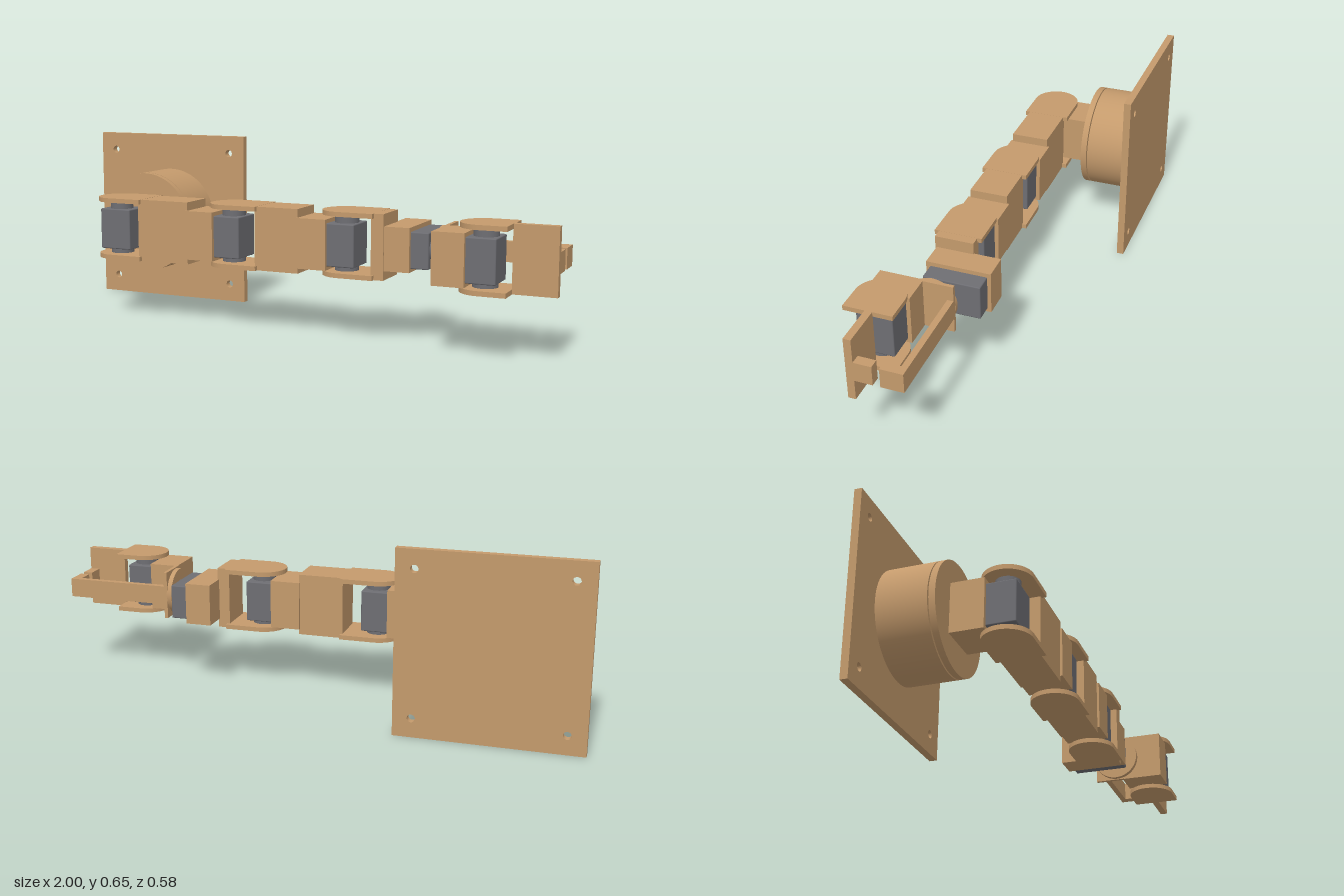
import * as THREE from 'three';
import { RoundedBoxGeometry } from 'three/addons/geometries/RoundedBoxGeometry.js';

const tan = new THREE.MeshStandardMaterial({ color: 0xc49a6c });
tan.name = 'tan plastic';
const grey = new THREE.MeshStandardMaterial({ color: 0x6e6e73 });
grey.name = 'motor grey';

const MID = 0.328;   // height of the arm's axis
const ARM_Z = 0.102; // depth of the arm's axis

function add(parent, name, geometry, material) {
  const mesh = new THREE.Mesh(geometry, material);
  mesh.name = name;
  parent.add(mesh);
  return mesh;
}

// Box given by its limits on each axis
function box(parent, name, [x0, x1], [y0, y1], [z0, z1], material = tan) {
  const mesh = add(parent, name, new THREE.BoxGeometry(x1 - x0, y1 - y0, z1 - z0), material);
  mesh.position.set((x0 + x1) / 2, (y0 + y1) / 2, (z0 + z1) / 2);
  return mesh;
}

// Motor body with slightly eased edges
function motor(parent, name, [x0, x1], [y0, y1], [z0, z1]) {
  const mesh = add(parent, name, new RoundedBoxGeometry(x1 - x0, y1 - y0, z1 - z0, 1, 0.004), grey);
  mesh.position.set((x0 + x1) / 2, (y0 + y1) / 2, (z0 + z1) / 2);
}

// Cylinder along 'x', 'y' or 'z' between two positions on that axis
function rod(parent, name, axis, radius, from, to, x, y, z, material) {
  const geometry = new THREE.CylinderGeometry(radius, radius, to - from, 64);
  if (axis === 'x') geometry.rotateZ(Math.PI / 2);
  if (axis === 'z') geometry.rotateX(Math.PI / 2);
  const mesh = add(parent, name, geometry, material);
  mesh.position.set(x, y, z);
  mesh.position[axis] = (from + to) / 2;
}

// Pair of plates, round at the pivot and square at the far end
function fork(parent, x, z, reach) {
  const r = 0.085;
  const shape = new THREE.Shape();
  shape.moveTo(reach, r);
  shape.lineTo(0, r);
  shape.absarc(0, 0, r, Math.PI / 2, Math.PI * 1.5, false);
  shape.lineTo(reach, -r);
  shape.closePath();
  for (const [name, y] of [['upperForkPlate', 0.431], ['lowerForkPlate', 0.22]]) {
    const geometry = new THREE.ExtrudeGeometry(shape, { depth: 0.0165, bevelEnabled: false, curveSegments: 32 });
    geometry.rotateX(-Math.PI / 2);
    add(parent, name, geometry, tan).position.set(x, y, z);
  }
}

// Motor, shaft, holder and fork; the holder sits behind (-z) or to the right (-x)
function joint(parent, name, x, z, reach, holderBehind = false) {
  const group = new THREE.Group();
  group.name = name;
  parent.add(group);
  const height = [0.24, 0.417], body = [0.253, 0.403];
  if (holderBehind) {
    box(group, 'motorHolder', [x - 0.077, x + 0.077], height, [-0.063, z - 0.05]);
    motor(group, 'motorBody', [x - 0.063, x + 0.063], body, [z - 0.08, z + 0.05]);
  } else {
    box(group, 'motorHolder', [x - 0.16, x - 0.05], height, [z - 0.077, z + 0.077]);
    motor(group, 'motorBody', [x - 0.08, x + 0.05], body, [z - 0.063, z + 0.063]);
  }
  rod(group, 'motorShaft', 'y', 0.042, 0.236, 0.431, x, 0, z, grey);
  fork(group, x, z, reach);
}

export function createModel() {
  const model = new THREE.Group();
  model.name = 'robotArm';

  // Wall plate with four screw holes
  const plate = new THREE.Shape();
  plate.moveTo(-1, 0);
  plate.lineTo(-0.35, 0);
  plate.lineTo(-0.35, 0.655);
  plate.lineTo(-1, 0.655);
  plate.closePath();
  for (const x of [-0.935, -0.415]) {
    for (const y of [0.068, 0.588]) {
      const hole = new THREE.Path();
      hole.absarc(x, y, 0.014, 0, Math.PI * 2, true);
      plate.holes.push(hole);
    }
  }
  add(model, 'wallPlate', new THREE.ExtrudeGeometry(plate, { depth: 0.026, bevelEnabled: false, curveSegments: 24 }), tan)
    .position.z = -0.289;

  // Turning base
  rod(model, 'baseDrum', 'z', 0.19, -0.263, -0.089, -0.675, MID, 0, tan);
  rod(model, 'baseShaft', 'z', 0.042, -0.1, -0.08, -0.675, MID, 0, grey);
  rod(model, 'turntable', 'z', 0.19, -0.085, -0.063, -0.675, MID, 0, tan);

  // Three arm joints and the links between them
  joint(model, 'shoulder', -0.675, ARM_Z, 0.125, true);
  joint(model, 'elbow', -0.2, ARM_Z, 0.125);
  joint(model, 'wrist', 0.24, ARM_Z, 0.125);
  for (const [name, x0, x1] of [['upperLink', -0.562, -0.355], ['middleLink', -0.083, 0.083], ['wristLink', 0.355, 0.4]]) {
    box(model, name, [x0, x1], [0.2205, 0.447], [0.033, 0.171]);
  }

  // Wrist roll motor
  box(model, 'rollMotorHolder', [0.395, 0.49], [0.253, 0.405], [-0.063, 0.166]);
  motor(model, 'rollMotor', [0.48, 0.553], [0.265, 0.39], [-0.05, 0.152]);
  rod(model, 'rollShaft', 'x', 0.042, 0.54, 0.59, 0, MID, ARM_Z, grey);
  rod(model, 'rollDisc', 'x', 0.085, 0.583, 0.602, 0, MID, ARM_Z, tan);

  // Gripper: fixed finger behind, hinged finger in front
  box(model, 'gripperWall', [0.6, 0.613], [0.24, 0.417], [0.018, 0.13]);
  box(model, 'fixedFinger', [0.605, 1], [0.293, 0.363], [0.018, 0.04]);
  box(model, 'fixedFingertip', [0.965, 1], [0.293, 0.363], [0.03, 0.097]);
  joint(model, 'gripperJoint', 0.763, 0.201, 0.09);
  box(model, 'movingFinger', [0.852, 1], [0.22, 0.4475], [0.184, 0.21]);
  box(model, 'movingFingertip', [0.965, 1], [0.293, 0.363], [0.122, 0.19]);

  return model;
}
